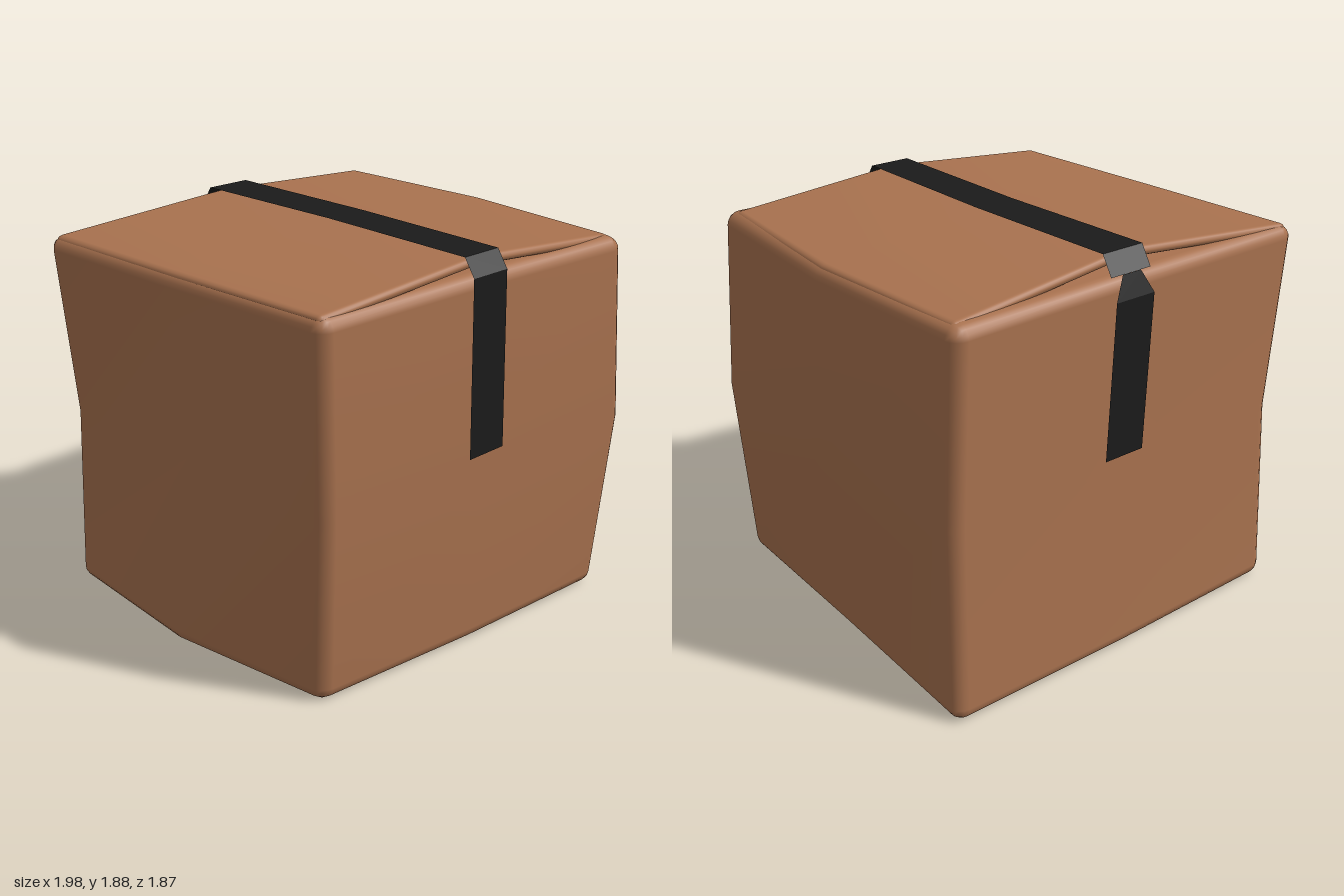
import * as THREE from 'three';
import { mergeVertices } from 'three/addons/utils/BufferGeometryUtils.js';

const cardboard = new THREE.MeshStandardMaterial({ color: 0xa9724f });
const tapeBlack = new THREE.MeshStandardMaterial({ color: 0x1b1b1b, side: THREE.DoubleSide });

// Piecewise-linear value of three samples at t = -1, 0, 1
const bend = ([a, b, c], t) => (t < 0 ? b + (a - b) * -t : b + (c - b) * t);
// The same over a 3 x 3 grid: rows follow s, columns follow t
const bend2 = (rows, s, t) => bend(rows.map((row) => bend(row, t)), s);
const mix = (a, b, t) => a + (b - a) * (t + 1) / 2;

// Cube from -1 to 1 with rounded edges (radius per axis), then moved by a rule
function warpedBox(radii, rule) {
  let geo = new THREE.BoxGeometry(2, 2, 2, 6, 6, 6);
  geo.deleteAttribute('uv');
  geo.deleteAttribute('normal');
  geo = mergeVertices(geo);
  const pos = geo.attributes.position;
  for (let i = 0; i < pos.count; i++) {
    const inner = [], over = [];
    for (let a = 0; a < 3; a++) {
      const r = radii[a];
      const step = Math.round(pos.getComponent(i, a) * 3);
      const p = Math.sign(step) * [0, 1 - r, 1 - 0.59 * r, 1][Math.abs(step)];
      inner[a] = THREE.MathUtils.clamp(p, r - 1, 1 - r);
      over[a] = (p - inner[a]) / r;
    }
    const len = Math.hypot(...over) || 1;
    pos.setXYZ(i, ...rule(...inner.map((c, a) => c + over[a] / len * radii[a])));
  }
  geo.computeVertexNormals();
  return geo;
}

// Side walls: rows are bottom, middle, top
// columns run back to front for left/right, left to right for front/back
const wallMinusX = [[-0.94, -0.96, -0.80], [-0.92, -0.935, -0.85], [-1.0, -0.93, -0.86]];
const wallPlusX = [[0.965, 0.93, 0.91], [0.95, 0.995, 0.95], [0.92, 0.97, 0.91]];
const wallFront = [[0.74, 0.83, 0.88], [0.82, 0.86, 0.94], [0.82, 0.845, 0.90]];
const wallBack = [[-0.92, -0.94, -0.935], [-0.88, -0.90, -0.90], [-0.88, -0.88, -0.90]];

function bodyRule(u, v, w) {
  return [
    mix(bend2(wallMinusX, v, w), bend2(wallPlusX, v, w), u),
    bend([0, 0.92, 1.795], v),
    mix(bend2(wallBack, v, u), bend2(wallFront, v, u), w),
  ];
}

// Thin lid raised to a ridge along the middle
function lidRule(u, v, w) {
  return [
    mix(bend([-0.97, -0.91, -0.84], w), bend([0.89, 0.945, 0.88], w), u),
    1.775 + 0.07 * (1 - Math.abs(u)) + 0.022 * v,
    mix(bend([-0.85, -0.79, -0.85], u), bend([0.79, 0.82, 0.84], u), w),
  ];
}

// Flat strip through stations [x from, x to, y, z], with sharp folds
function ribbon(stations) {
  const points = [];
  for (let i = 0; i + 1 < stations.length; i++) {
    const [a0, a1, ay, az] = stations[i];
    const [b0, b1, by, bz] = stations[i + 1];
    points.push(a0, ay, az, b0, by, bz, b1, by, bz, a0, ay, az, b1, by, bz, a1, ay, az);
  }
  const geo = new THREE.BufferGeometry();
  geo.setAttribute('position', new THREE.Float32BufferAttribute(points, 3));
  geo.computeVertexNormals();
  return geo;
}

export function createModel() {
  const group = new THREE.Group();
  const add = (name, geo, mat) => {
    const mesh = new THREE.Mesh(geo, mat);
    mesh.name = name;
    group.add(mesh);
  };

  add('boxBody', warpedBox([0.07, 0.07, 0.07], bodyRule), cardboard);
  add('boxLid', warpedBox([0.03, 0.9, 0.03], lidRule), cardboard);

  // Tape from the back flap, over the ridge and down the front
  add('topTape', ribbon([
    [-0.115, 0.105, 1.795, -0.86],
    [-0.12, 0.10, 1.88, -0.80],
    [-0.075, 0.135, 1.88, 0],
    [-0.07, 0.135, 1.88, 0.82],
    [-0.07, 0.135, 1.80, 0.875],
    [-0.07, 0.142, 0.99, 0.892],
  ]), tapeBlack);

  // Separate strip on the back, narrow where it tucks under the flap
  add('backTape', ribbon([
    [-0.05, 0.05, 1.80, -0.87],
    [-0.10, 0.11, 1.70, -0.905],
    [-0.06, 0.15, 0.99, -0.918],
  ]), tapeBlack);

  return group;
}
